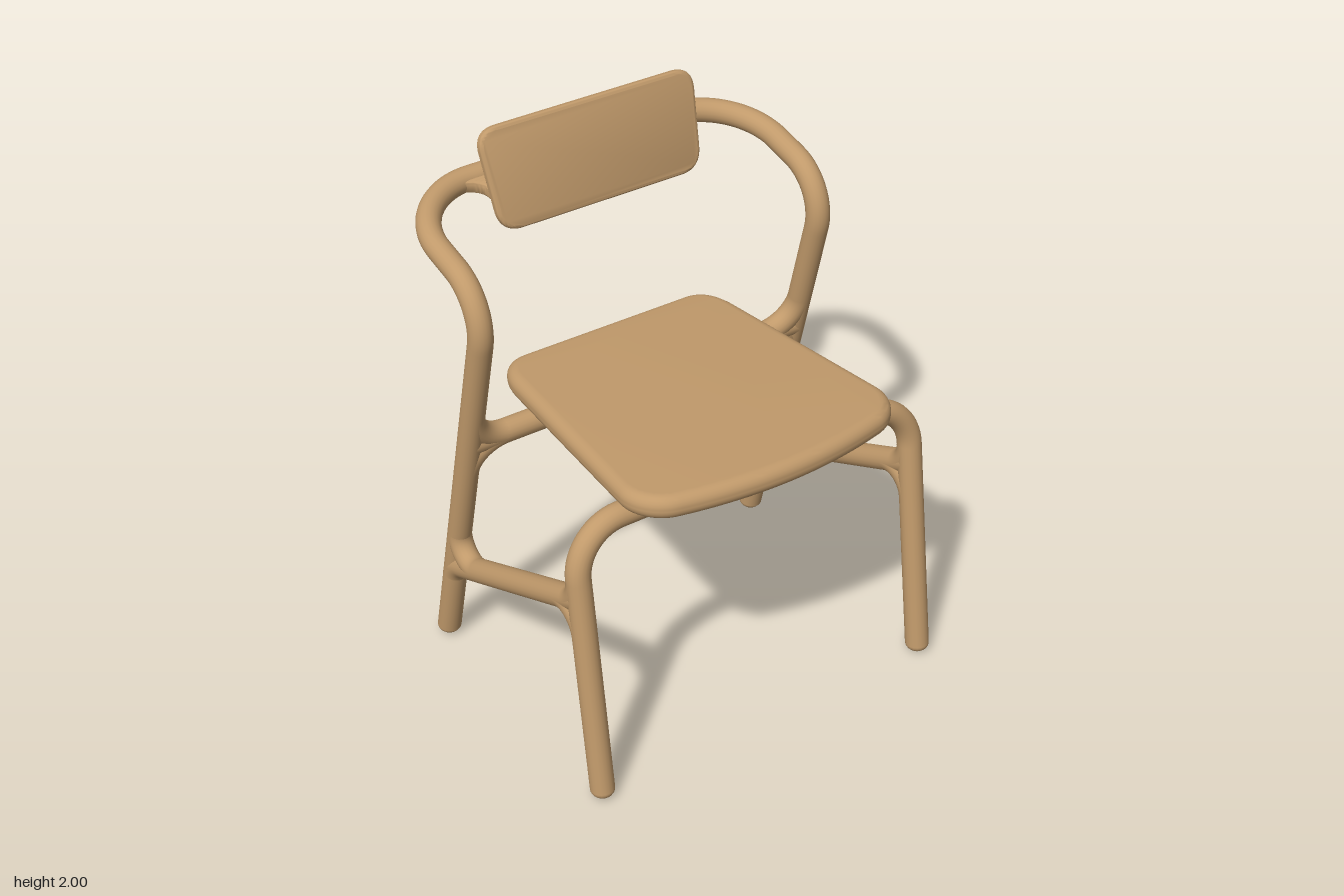
import * as THREE from 'three';
import { toCreasedNormals } from 'three/addons/utils/BufferGeometryUtils.js';
import { RoundedBoxGeometry } from 'three/addons/geometries/RoundedBoxGeometry.js';

const R = 0.044; // radius of the round wooden members
const V = (x, y, z) => new THREE.Vector3(x, y, z);

// Circular arc, tangent to both arms of a corner, starting and ending at distance t from it
function cornerArc(p, a, b, t) {
  const u = a.clone().sub(p).normalize();
  const v = b.clone().sub(p).normalize();
  const turn = Math.PI - u.angleTo(v);
  const handle = (4 / 3) * Math.tan(turn / 4) / Math.tan(turn / 2);
  const at = (d, s) => p.clone().addScaledVector(d, s);
  return new THREE.CubicBezierCurve3(at(u, t), at(u, t * (1 - handle)), at(v, t * (1 - handle)), at(v, t));
}

// Polyline whose inner corners are rounded with the given tangent lengths
function roundedPath(points, lengths) {
  const path = new THREE.CurvePath();
  let last = points[0];
  for (let i = 1; i < points.length - 1; i++) {
    const arc = cornerArc(points[i], points[i - 1], points[i + 1], lengths[i - 1]);
    path.add(new THREE.LineCurve3(last, arc.v0));
    path.add(arc);
    last = arc.v3;
  }
  path.add(new THREE.LineCurve3(last, points[points.length - 1]));
  return path;
}

// Closed outline with rounded corners, points given as [x, y, cornerLength]
function roundedShape(pts) {
  const shape = new THREE.Shape();
  pts.forEach(([x, y, t], i) => {
    const p = new THREE.Vector2(x, y);
    const toward = (q) => p.clone().add(new THREE.Vector2(q[0] - x, q[1] - y).setLength(t));
    const a = toward(pts[(i + pts.length - 1) % pts.length]);
    const b = toward(pts[(i + 1) % pts.length]);
    if (i === 0) shape.moveTo(a.x, a.y); else shape.lineTo(a.x, a.y);
    shape.quadraticCurveTo(x, y, b.x, b.y);
  });
  shape.closePath();
  return shape;
}

// Slab with rounded edges, centred on its thickness
function slab(shape, thickness, bevel) {
  const depth = thickness - 2 * bevel;
  const geo = new THREE.ExtrudeGeometry(shape, {
    depth, bevelThickness: bevel, bevelSize: bevel, bevelOffset: -bevel, bevelSegments: 6, curveSegments: 14,
  });
  geo.translate(0, 0, -depth / 2);
  return toCreasedNormals(geo, 0.7);
}

export function createModel() {
  const model = new THREE.Group();
  model.name = 'chair';
  const wood = new THREE.MeshStandardMaterial({ color: 0xc19a6b });
  wood.name = 'wood';

  const add = (name, geo, pos = V(0, 0, 0)) => {
    const mesh = new THREE.Mesh(geo, wood);
    mesh.name = name;
    mesh.position.copy(pos);
    model.add(mesh);
    return mesh;
  };
  const tube = (name, curve, segments) =>
    add(name, new THREE.TubeGeometry(curve, segments, R, 20, false));
  const foot = (name, pos) => {
    add(name, new THREE.SphereGeometry(R, 20, 12), pos).scale.y = 0.75;
  };
  // Bent piece that softens the joint between two members; radius is that of the visible hollow
  const fillet = (name, p, a, b, radius) => {
    const angle = a.clone().sub(p).angleTo(b.clone().sub(p));
    tube(name, cornerArc(p, a, b, (radius + R) / Math.tan(angle / 2)), 14);
  };

  // Front legs joined by an arch under the seat
  const X = 0.69;
  const frontFoot = (s) => V(s * X, 0.034, 0.575);
  const frontTop = (s) => V(s * X, 1.045, 0.43);
  tube('frontFrame', roundedPath([frontFoot(1), frontTop(1), frontTop(-1), frontFoot(-1)], [0.18, 0.18]), 160);

  // Rear legs bending into arms and a back rail in one loop
  const rearFoot = (s) => V(s * X, 0.034, -0.485);
  const elbow = (s) => V(s * X, 1.65, -0.08);
  const backCorner = (s) => V(s * X, 1.77, -0.645);
  tube('rearFrame', roundedPath(
    [rearFoot(1), elbow(1), backCorner(1), backCorner(-1), elbow(-1), rearFoot(-1)],
    [0.19, 0.28, 0.28, 0.19]), 320);

  // Cross rail under the back of the seat
  const railEnd = (s) => V(s * X, 1.0, -0.243);
  tube('rearSeatRail', new THREE.LineCurve3(railEnd(1), railEnd(-1)), 1);

  // Side stretchers, softened joints and feet
  for (const s of [1, -1]) {
    const f = V(s * X, 0.79, 0.466);
    const r = V(s * X, 0.368, -0.403);
    tube('sideStretcher', new THREE.LineCurve3(f, r), 1);
    fillet('frontUpperJoint', f, frontTop(s), r, 0.06);
    fillet('frontLowerJoint', f, frontFoot(s), r, 0.06);
    fillet('rearUpperJoint', r, elbow(s), f, 0.05);
    fillet('rearLowerJoint', r, rearFoot(s), f, 0.08);
    fillet('railUpperJoint', railEnd(s), elbow(s), railEnd(-s), 0.1);
    fillet('railLowerJoint', railEnd(s), rearFoot(s), railEnd(-s), 0.1);
    foot('frontFootEnd', frontFoot(s));
    foot('rearFootEnd', rearFoot(s));
  }

  // Seat: tapered toward the back, with a bowed front edge
  const seatShape = new THREE.Shape();
  seatShape.moveTo(-0.34, -0.46);
  seatShape.lineTo(0.34, -0.46);
  seatShape.bezierCurveTo(0.42, -0.46, 0.46, -0.4, 0.468, -0.3);
  seatShape.lineTo(0.533, 0.46);
  seatShape.bezierCurveTo(0.54, 0.54, 0.48, 0.62, 0.4, 0.635);
  seatShape.quadraticCurveTo(0.2, 0.685, 0, 0.685);
  seatShape.quadraticCurveTo(-0.2, 0.685, -0.4, 0.635);
  seatShape.bezierCurveTo(-0.48, 0.62, -0.54, 0.54, -0.533, 0.46);
  seatShape.lineTo(-0.468, -0.3);
  seatShape.bezierCurveTo(-0.46, -0.4, -0.42, -0.46, -0.34, -0.46);
  add('seat', slab(seatShape, 0.088, 0.04), V(0, 1.113, 0)).rotation.x = Math.PI / 2 - 0.053;

  // Backrest: leaning plate, slightly wider at the top
  const backShape = roundedShape([
    [-0.41, -0.185, 0.085], [0.41, -0.185, 0.085], [0.44, 0.185, 0.085], [-0.44, 0.185, 0.085],
  ]);
  add('backrest', slab(backShape, 0.036, 0.015), V(0, 1.818, -0.503)).rotation.x = -0.285;

  // Flared brackets from the back rail to the backrest
  const bracket = new THREE.Shape();
  bracket.moveTo(-0.2, 0);
  bracket.lineTo(0.2, 0);
  bracket.lineTo(0.2, 0.04);
  bracket.quadraticCurveTo(0.14, 0.045, 0.13, 0.09);
  bracket.lineTo(0.12, 0.145);
  bracket.lineTo(-0.1, 0.145);
  bracket.lineTo(-0.11, 0.09);
  bracket.quadraticCurveTo(-0.13, 0.045, -0.2, 0.04);
  const bracketGeo = slab(bracket, 0.05, 0.012);
  for (const s of [1, -1]) {
    const b = add('backrestBracket', bracketGeo, V(s * 0.29, 1.77, -0.645));
    b.rotation.x = Math.PI / 2 + 0.2;
    add('backrestTab', new RoundedBoxGeometry(0.09, 0.06, 0.07, 3, 0.012), V(s * 0.295, 1.775, -0.555));

    // Pads between the rails and the seat
    add('frontSeatPad', new RoundedBoxGeometry(0.24, 0.06, 0.075, 3, 0.015), V(s * 0.27, 1.075, 0.43));
    add('rearSeatPad', new RoundedBoxGeometry(0.24, 0.06, 0.075, 3, 0.015), V(s * 0.27, 1.04, -0.243));
  }

  return model;
}
